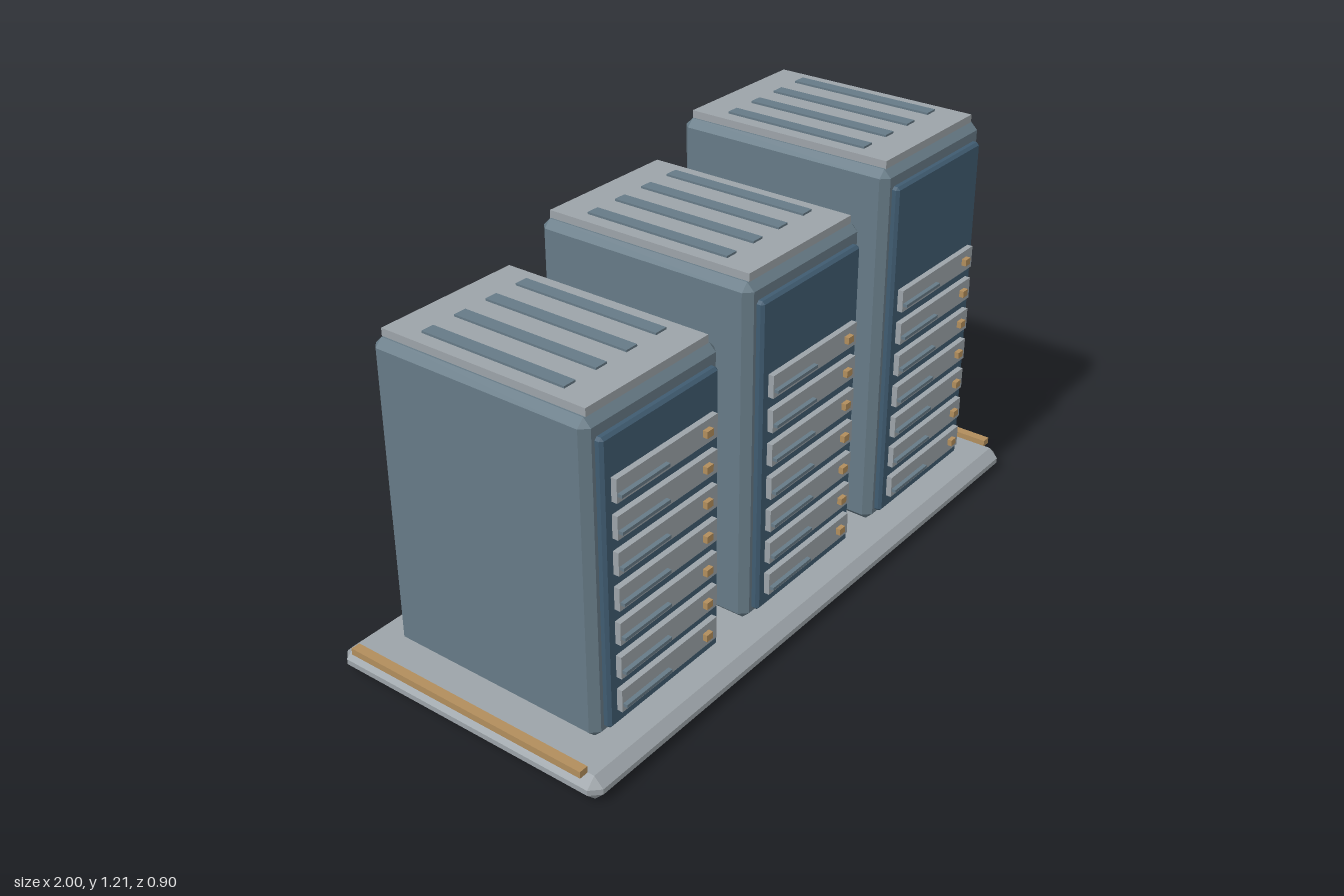
import * as THREE from 'three';
import { ConvexGeometry } from 'three/addons/geometries/ConvexGeometry.js';

const material = (name, color) => new THREE.MeshStandardMaterial({ name, color });

// Box with every edge and corner cut by c
function chamferBox(w, h, d, c) {
  const points = [];
  const half = [w / 2, h / 2, d / 2];
  for (const sx of [-1, 1]) for (const sy of [-1, 1]) for (const sz of [-1, 1]) {
    for (let face = 0; face < 3; face++) {
      const p = half.map((v, i) => (i === face ? v : v - c));
      points.push(new THREE.Vector3(p[0] * sx, p[1] * sy, p[2] * sz));
    }
  }
  return new ConvexGeometry(points);
}

export function createModel() {
  const grey = material('light grey metal', 0x9ca3a8);
  const slate = material('slate cabinet', 0x667a86);
  const navy = material('navy door', 0x3f5b70);
  const amber = material('amber trim', 0xb18d5c);

  const model = new THREE.Group();
  model.name = 'serverRacks';

  function add(parent, name, geometry, mat, x, y, z) {
    const mesh = new THREE.Mesh(geometry, mat);
    mesh.name = name;
    mesh.position.set(x, y, z);
    parent.add(mesh);
  }

  // Plinth with a trim rail at each end
  add(model, 'plinth', chamferBox(2, 0.072, 0.9, 0.028), grey, 0, 0.036, 0);
  for (const side of [-1, 1]) {
    add(model, 'trimRail', new THREE.BoxGeometry(0.028, 0.02, 0.8), amber, side * 0.985, 0.08, 0);
  }

  // Geometry shared by all cabinets
  const cap = new THREE.BoxGeometry(0.457, 0.023, 0.656);
  const vent = new THREE.BoxGeometry(0.04, 0.012, 0.46);
  const unit = new THREE.BoxGeometry(0.386, 0.066, 0.022);
  const slot = new THREE.BoxGeometry(0.18, 0.009, 0.014);
  const light = new THREE.BoxGeometry(0.025, 0.02, 0.014);

  function createRack(x, top) {
    const rack = new THREE.Group();
    rack.name = 'rack';
    rack.position.x = x;
    model.add(rack);

    // Cabinet, roof cap and door
    const bottom = 0.07;
    add(rack, 'cabinet', chamferBox(0.51, top - bottom, 0.694, 0.022), slate, 0, (top + bottom) / 2, 0);
    add(rack, 'roofCap', cap, grey, 0, top + 0.0105, 0);
    const doorBottom = 0.1, doorTop = top - 0.05;
    add(rack, 'door', chamferBox(0.444, doorTop - doorBottom, 0.028, 0.008), navy,
      0, (doorTop + doorBottom) / 2, 0.353);

    // Roof vents
    for (let i = 0; i < 4; i++) {
      add(rack, 'roofVent', vent, slate, (i - 1.5) * 0.112, top + 0.022, 0);
    }

    // Server units, each with a drive slot and a status light
    for (let i = 0; i < 7; i++) {
      const y = 0.179 + i * 0.1018;
      add(rack, 'serverUnit', unit, grey, 0, y, 0.373);
      add(rack, 'driveSlot', slot, slate, -0.1, y - 0.011, 0.39);
      add(rack, 'statusLight', light, amber, 0.145, y + 0.003, 0.392);
    }
  }

  // Three cabinets of rising height
  [0.985, 1.085, 1.185].forEach((top, i) => createRack((i - 1) * 0.623, top));

  return model;
}
